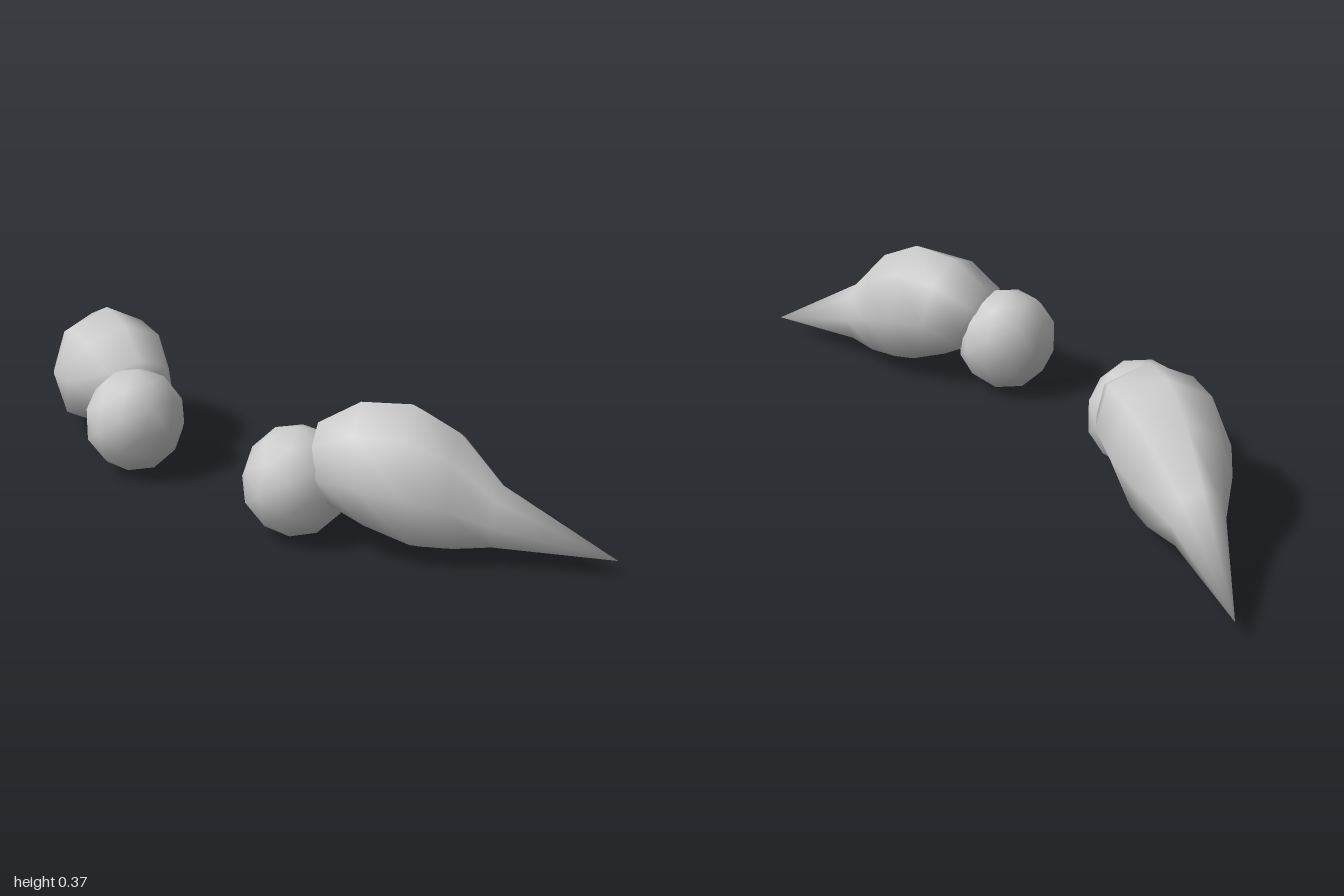
import * as THREE from 'three';
import { mergeVertices } from 'three/addons/utils/BufferGeometryUtils.js';

const SIDES = 8;

// Rings along the tapered body: centre x, z, top y, bottom y, half width, lean of the top towards the ball
const RINGS = [
  [0.35, 0.05, 0.29, 0.10, 0.115, 0.035],
  [0.445, 0.01, 0.36, 0.05, 0.148, 0.03],
  [0.555, -0.035, 0.373, 0.01, 0.148, 0.02],
  [0.645, -0.075, 0.32, 0.013, 0.118, 0],
  [0.74, -0.112, 0.205, 0.033, 0.066, -0.01],
];
const TIP = [1, 0.045, -0.238];

function bodyGeometry() {
  const pos = [], index = [];
  for (const [x, z, top, bottom, w, lean] of RINGS) {
    for (let j = 0; j < SIDES; j++) {
      const a = (j / SIDES) * Math.PI * 2;
      const c = Math.cos(a) * w, s = Math.sin(a);
      pos.push(x + c * 0.42 - s * lean, (top + bottom) / 2 + s * (top - bottom) / 2, z + c * 0.91);
    }
  }
  const last = (RINGS.length - 1) * SIDES;
  const tip = RINGS.length * SIDES, root = tip + 1;
  pos.push(...TIP, 0.32, 0.19, 0.06);
  for (let j = 0; j < SIDES; j++) {
    const k = (j + 1) % SIDES;
    for (let r = 0; r < last; r += SIDES) {
      index.push(r + j, r + SIDES + j, r + k, r + k, r + SIDES + j, r + SIDES + k);
    }
    index.push(last + j, tip, last + k, root, j, k);
  }
  const g = new THREE.BufferGeometry();
  g.setAttribute('position', new THREE.Float32BufferAttribute(pos, 3));
  g.setIndex(index);
  return g;
}

function ballGeometry() {
  const g = new THREE.IcosahedronGeometry(0.14, 1);
  g.deleteAttribute('normal');
  g.deleteAttribute('uv');
  return mergeVertices(g, 1e-4).scale(0.95, 1.02, 1).translate(0.288, 0.143, 0.097);
}

// Mirror across x, reversing the corner order so faces still point outwards
function mirror(g) {
  g.scale(-1, 1, 1);
  const a = g.index.array;
  for (let i = 0; i < a.length; i += 3) [a[i], a[i + 1]] = [a[i + 1], a[i]];
  return g;
}

export function createModel() {
  const model = new THREE.Group();
  const material = new THREE.MeshStandardMaterial({ color: 0xcccccc });
  for (const side of ['left', 'right']) {
    const half = new THREE.Group();
    half.name = side + 'Half';
    for (const [name, make] of [['Ball', ballGeometry], ['TaperedBody', bodyGeometry]]) {
      const g = side === 'right' ? mirror(make()) : make();
      g.computeVertexNormals();
      const mesh = new THREE.Mesh(g, material);
      mesh.name = side + name;
      half.add(mesh);
    }
    model.add(half);
  }
  return model;
}
